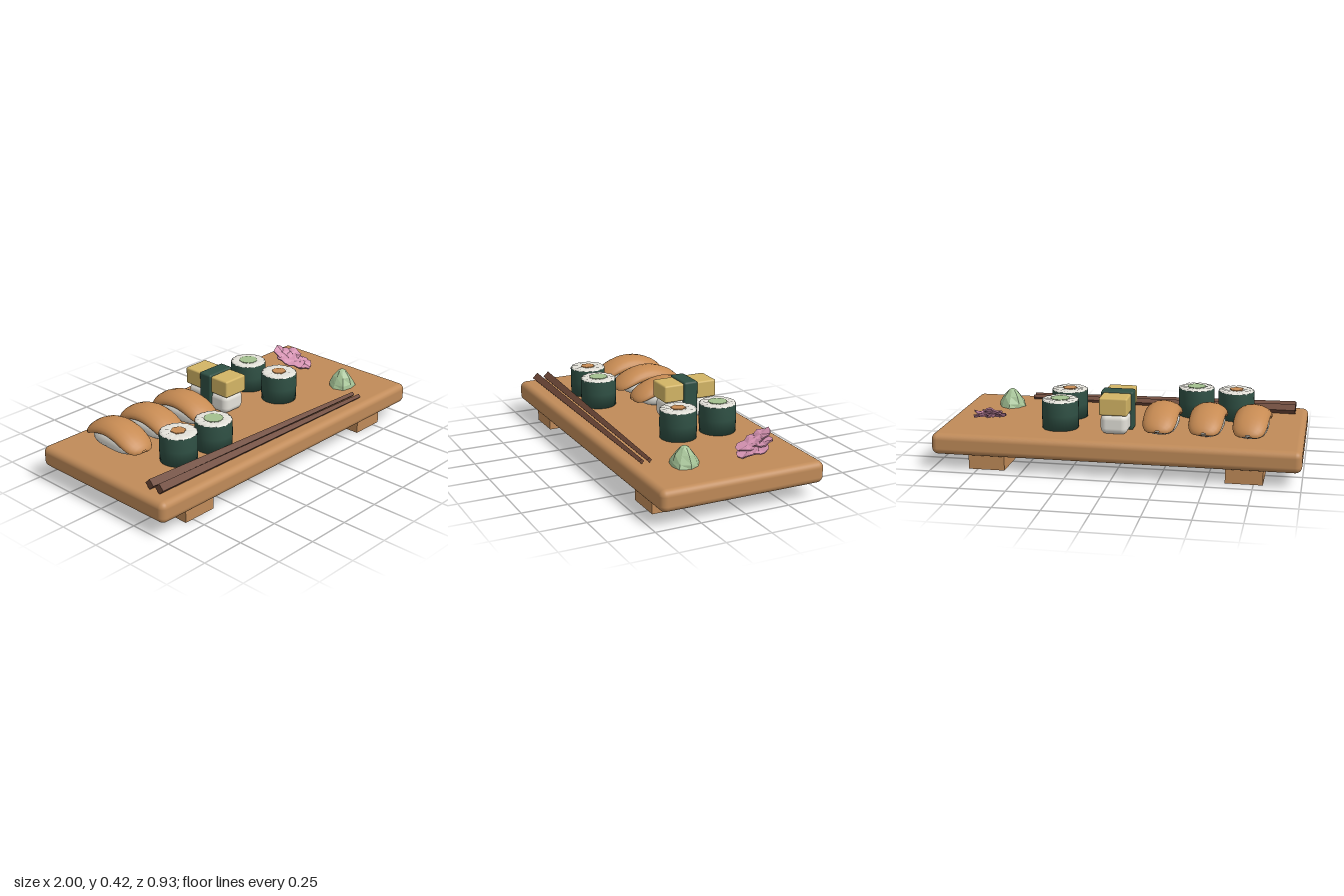
import * as THREE from 'three';
import { RoundedBoxGeometry } from 'three/addons/geometries/RoundedBoxGeometry.js';

const mat = (name, color, opts = {}) => {
  const m = new THREE.MeshStandardMaterial({ color, ...opts });
  m.name = name;
  return m;
};

const TOP = 0.2; // height of the board's upper face

// Closed body swept along z from superellipse rings; section(t) gives half width, half height, centre y, edge droop
function loft(length, section, rings = 18, sides = 20) {
  const pos = [], idx = [];
  const sp = (v, p) => Math.sign(v) * Math.pow(Math.abs(v), p);
  for (let i = 0; i <= rings; i++) {
    const t = -Math.cos((i / rings) * Math.PI);
    const { w, h, y, droop } = section(t);
    for (let j = 0; j < sides; j++) {
      const a = (j / sides) * Math.PI * 2;
      const u = sp(Math.cos(a), 0.75);
      pos.push(w * u, y + h * sp(Math.sin(a), 0.8) - droop * u * u, (t * length) / 2);
    }
  }
  for (let i = 0; i < rings; i++) {
    for (let j = 0; j < sides; j++) {
      const a = i * sides + j, b = i * sides + ((j + 1) % sides);
      idx.push(a, b, a + sides, b, b + sides, a + sides);
    }
  }
  const g = new THREE.BufferGeometry();
  g.setAttribute('position', new THREE.Float32BufferAttribute(pos, 3));
  g.setIndex(idx);
  g.computeVertexNormals();
  return g;
}

// Moves every vertex by a rule and refreshes the normals
function warp(g, rule) {
  const p = g.attributes.position, v = new THREE.Vector3();
  for (let i = 0; i < p.count; i++) {
    v.fromBufferAttribute(p, i);
    rule(v);
    p.setXYZ(i, v.x, v.y, v.z);
  }
  g.computeVertexNormals();
  return g;
}

const lathe = (pts, n) => new THREE.LatheGeometry(pts.map(([x, y]) => new THREE.Vector2(x, y)), n);

export function createModel() {
  const root = new THREE.Group();
  root.name = 'sushiBoard';
  const wood = mat('wood', 0xc08b59);
  const salmon = mat('salmon', 0xc78b53);
  const rice = mat('rice', 0xe4e2da);
  const nori = mat('seaweed', 0x2f5044);
  const egg = mat('egg', 0xd3b565);
  const green = mat('cucumber', 0xa3c08f);
  const paste = mat('greenPaste', 0xa6c497, { flatShading: true });
  const pink = mat('ginger', 0xd391b0, { flatShading: true, side: THREE.DoubleSide });
  const dark = mat('darkWood', 0x6e4838, { flatShading: true });

  const add = (parent, name, geo, material, x = 0, y = 0, z = 0) => {
    const m = new THREE.Mesh(geo, material);
    m.name = name;
    m.position.set(x, y, z);
    parent.add(m);
    return m;
  };
  const group = (name, x, y, z) => {
    const g = new THREE.Group();
    g.name = name;
    g.position.set(x, y, z);
    root.add(g);
    return g;
  };

  // Board and its two feet
  add(root, 'board', new RoundedBoxGeometry(2, 0.118, 0.93, 4, 0.035), wood, 0, 0.141, 0);
  for (const x of [-0.7, 0.7]) add(root, 'foot', new THREE.BoxGeometry(0.2, 0.085, 0.84), wood, x, 0.0425, 0);

  // Salmon slices draped over rice
  const sliceGeo = loft(0.42, (t) => {
    const e = Math.pow(Math.max(0, 1 - t ** 6), 0.5);
    return { w: 0.012 + 0.082 * e, h: 0.004 + 0.027 * e, y: 0.13 - 0.08 * t * t, droop: 0.025 * e };
  });
  const riceGeo = loft(0.33, (t) => {
    const e = Math.pow(Math.max(0, 1 - t ** 4), 0.5);
    return { w: 0.085 * e, h: 0.052 * e, y: 0.052, droop: 0 };
  });
  [[-0.72, 0.05], [-0.48, 0.02], [-0.23, 0]].forEach(([x, turn]) => {
    const g = group('salmonPiece', x, TOP, -0.16);
    g.rotation.y = -turn;
    add(g, 'riceBed', riceGeo, rice);
    add(g, 'salmonSlice', sliceGeo, salmon);
  });

  // Egg block on rice with a seaweed belt
  const eggPiece = group('eggPiece', 0.018, TOP, -0.16);
  add(eggPiece, 'riceBed', new RoundedBoxGeometry(0.15, 0.115, 0.3, 4, 0.035), rice, 0, 0.056, 0);
  add(eggPiece, 'eggBlock', new RoundedBoxGeometry(0.156, 0.098, 0.32, 2, 0.01), egg, 0, 0.157, 0);
  add(eggPiece, 'seaweedBelt', new RoundedBoxGeometry(0.18, 0.216, 0.085, 2, 0.012), nori, 0, 0.108, 0.002);

  // Rolls: seaweed wall, grainy rice top and a filling
  const wallGeo = lathe([[0, 0], [0.1, 0], [0.102, 0.08], [0.101, 0.156], [0.096, 0.157]], 32);
  const riceTopGeo = warp(
    lathe([[0.099, 0.15], [0.099, 0.158], [0.088, 0.164], [0.06, 0.164], [0, 0.16]], 48),
    (v) => {
      const a = Math.atan2(v.z, v.x), r = Math.hypot(v.x, v.z);
      if (r > 0.05) v.y += 0.0015 * Math.sin(a * 16) + 0.001 * Math.sin(a * 7 + r * 90);
      if (r > 0.095) { v.x *= 1 + 0.02 * Math.sin(a * 16); v.z *= 1 + 0.02 * Math.sin(a * 16); }
    });
  const salmonFill = new THREE.CylinderGeometry(0.042, 0.042, 0.012, 6);
  const greenFill = new THREE.CylinderGeometry(0.052, 0.052, 0.012, 16);
  [[-0.6, 0.17, 0], [-0.37, 0.2, 1], [0.335, 0.04, 0], [0.335, -0.2, 1]].forEach(([x, z, isGreen], i) => {
    const g = group('roll', x, TOP, z);
    g.rotation.y = i * 0.8;
    add(g, 'seaweedWall', wallGeo, nori);
    add(g, 'riceTop', riceTopGeo, rice);
    add(g, 'filling', isGreen ? greenFill : salmonFill, isGreen ? green : salmon, 0, 0.161, 0);
  });

  // Mound of green paste
  const mound = warp(
    lathe([[0, 0], [0.078, 0], [0.072, 0.022], [0.05, 0.062], [0.022, 0.096], [0, 0.106]], 8),
    (v) => {
      const a = Math.atan2(v.z, v.x), k = 1 + 0.09 * Math.sin(3 * a + v.y * 40);
      v.x *= k;
      v.z *= k;
    });
  add(root, 'greenPasteMound', mound, paste, 0.72, TOP, 0.2);

  // Ruffled ginger petals, overlapping and tilted
  const ginger = group('ginger', 0.73, TOP, -0.2);
  const petals = [
    [0.03, 0.03, 0.055, 0.062], [0.045, 0.042, 0.01, 0.062], [-0.01, 0.045, 0.03, 0.065],
    [0.03, 0.062, -0.03, 0.06], [-0.03, 0.062, -0.02, 0.06], [-0.025, 0.082, -0.055, 0.055],
  ];
  petals.forEach(([x, y, z, r], i) => {
    const geo = warp(new THREE.CylinderGeometry(r, r * 0.95, 0.008, 14, 1), (v) => {
      const a = Math.atan2(v.z, v.x), q = Math.hypot(v.x, v.z) / r;
      v.y += 0.007 * q * Math.sin(a * 4 + i * 1.7);
      const k = 1 + 0.06 * Math.sin(a * 5 + i);
      v.x *= k;
      v.z *= k;
    });
    const p = add(ginger, 'gingerPetal', geo, pink, x, y, z);
    p.rotation.set(0.36 + 0.05 * Math.sin(i * 2), i * 0.9, -0.12 + 0.1 * Math.cos(i * 3));
  });

  // Tapered square chopsticks lying on an edge
  [[0.3, 0.352], [0.37, 0.396]].forEach(([z0, z1]) => {
    const len = 1.56;
    const geo = new THREE.CylinderGeometry(0.014, 0.03, len, 4);
    geo.rotateZ(-Math.PI / 2);
    const s = add(root, 'chopstick', geo, dark, -0.15, 0.223, (z0 + z1) / 2);
    s.rotation.set(0, -Math.atan2(z1 - z0, len), -0.006);
  });

  return root;
}
